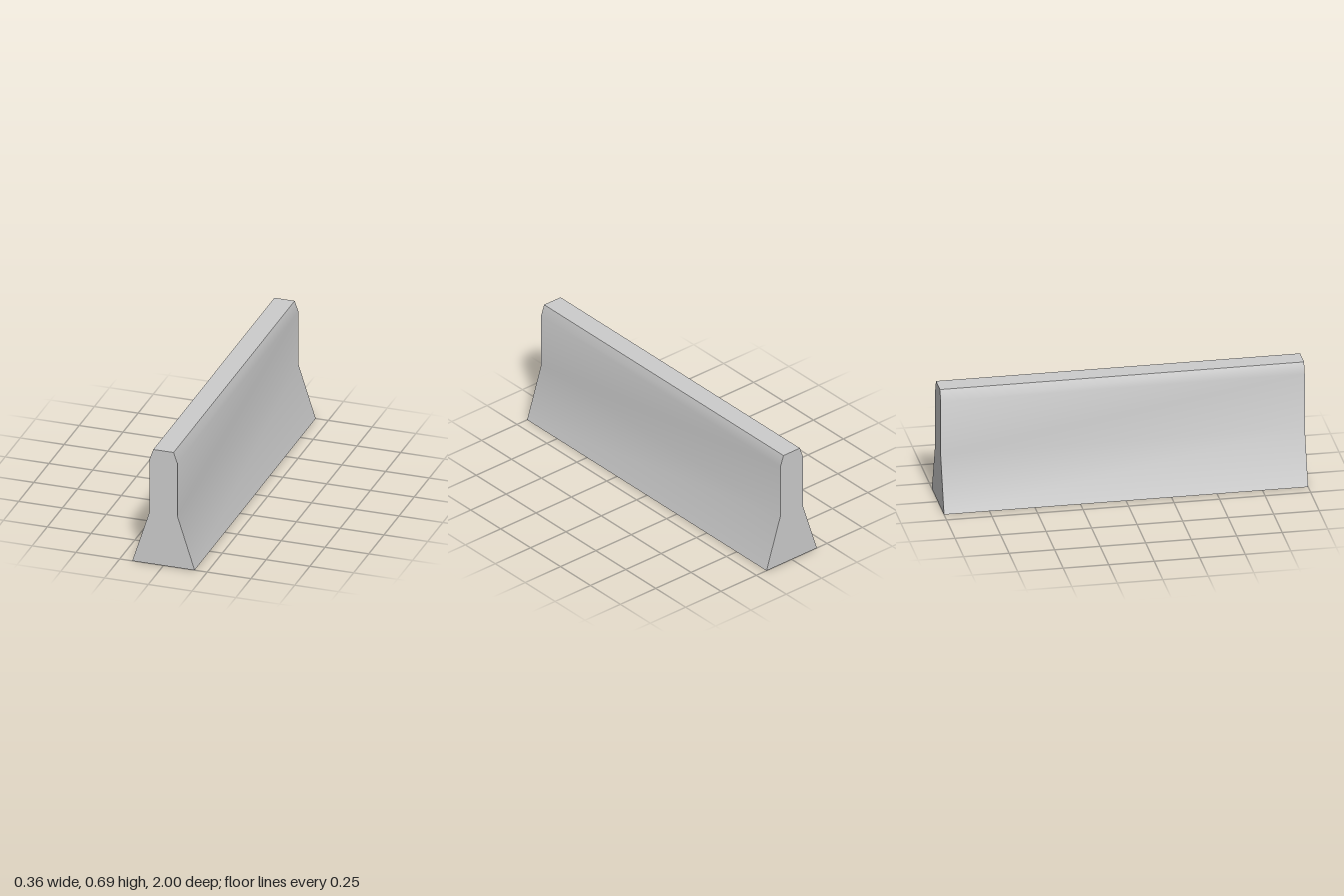
import * as THREE from 'three';
import { toCreasedNormals } from 'three/addons/utils/BufferGeometryUtils.js';

export function createModel() {
  const group = new THREE.Group();
  group.name = 'roadBarrier';

  // Half profile from the foot up to the chamfered top, mirrored across x = 0
  const half = [[0.178, 0], [0.079, 0.31], [0.079, 0.625], [0.058, 0.686]];
  const right = half.map(([x, y]) => new THREE.Vector2(x, y));
  const left = half.map(([x, y]) => new THREE.Vector2(-x, y)).reverse();
  const profile = new THREE.Shape([...right, ...left]);

  // Run the profile along z; side bends shade smoothly, other edges stay sharp
  const length = 2;
  const extruded = new THREE.ExtrudeGeometry(profile, { depth: length, bevelEnabled: false });
  extruded.translate(0, 0, -length / 2);

  const barrier = new THREE.Mesh(
    toCreasedNormals(extruded, Math.PI / 6),
    new THREE.MeshStandardMaterial({ color: 0xcccccc })
  );
  barrier.name = 'barrierBody';
  group.add(barrier);
  return group;
}
